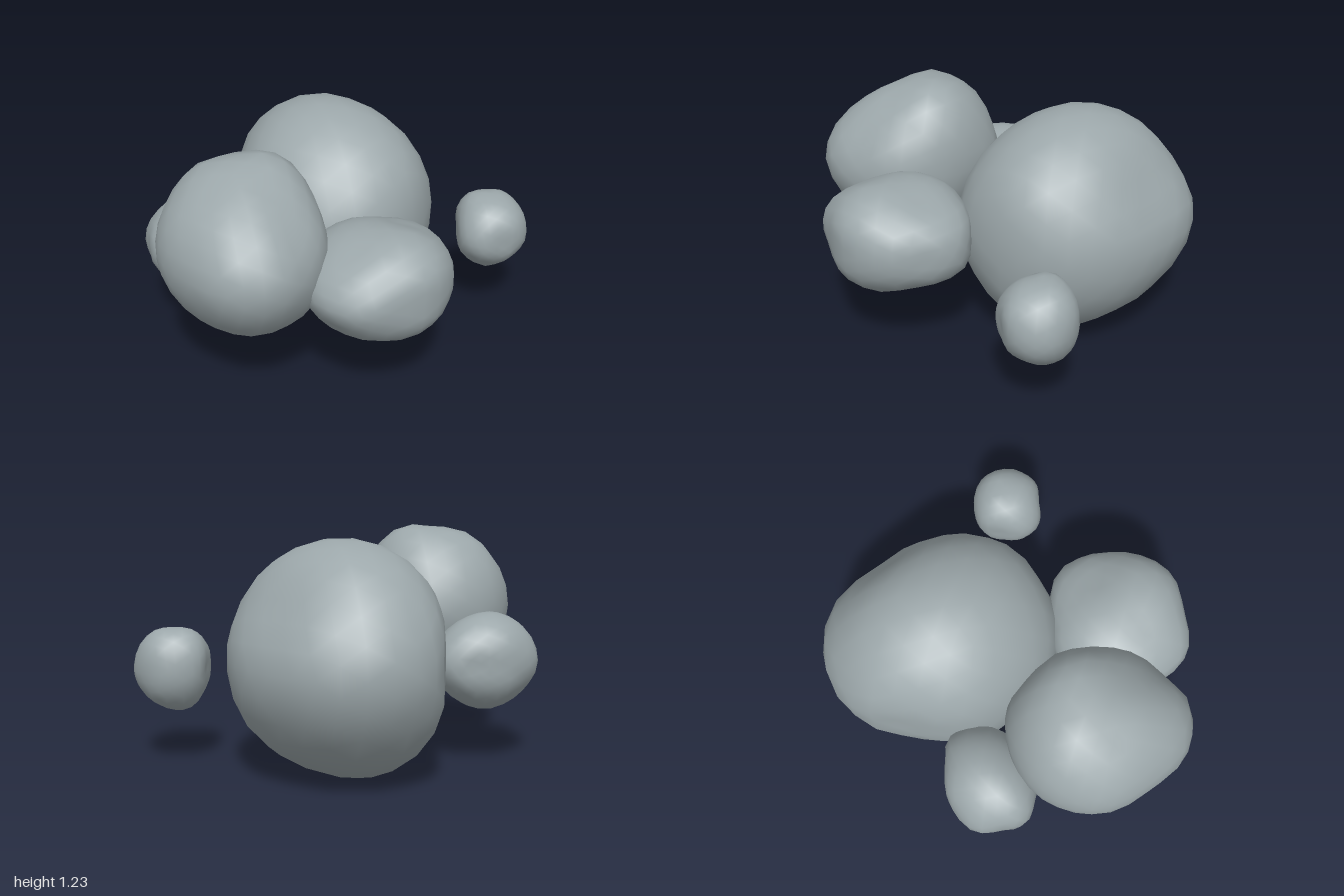
import * as THREE from 'three';
import { mergeVertices } from 'three/addons/utils/BufferGeometryUtils.js';

// Smooth closed profile: radius at any angle from radii spaced every 30 degrees
function radiusAt(radii, angle) {
  const t = (angle / (2 * Math.PI) + 1) * 12;
  const i = Math.floor(t), f = t - i;
  const [a, b, c, d] = [-1, 0, 1, 2].map((k) => radii[(i + k + 12) % 12]);
  return b + 0.5 * f * (c - a + f * (2 * a - 5 * b + 4 * c - d + f * (3 * (b - c) + d - a)));
}

// A boulder is an ellipsoid whose radius is blended from three profiles.
// axes: radii along +x +y +z -x -y -z. Each profile lists the two radii
// between neighbouring axes, all in half sizes.
function rockGeometry({ centre, half, axes, front, side, top }) {
  const planes = [[0, 1, front], [2, 1, side], [0, 2, top]].map(([u, v, between]) => ({
    u, v, w: 3 - u - v,
    radii: [u, v, u + 3, v + 3].flatMap((axis, q) => [axes[axis], between[2 * q], between[2 * q + 1]]),
  }));
  let geometry = new THREE.IcosahedronGeometry(1, 4);
  geometry.deleteAttribute('uv');
  geometry.deleteAttribute('normal');
  geometry = mergeVertices(geometry, 1e-4);
  const position = geometry.attributes.position;
  for (let i = 0; i < position.count; i++) {
    const d = [position.getX(i), position.getY(i), position.getZ(i)];
    let sum = 0, total = 0;
    for (const { u, v, w, radii } of planes) {
      const weight = 1 / (d[w] ** 2 + 0.001);
      sum += weight * radiusAt(radii, Math.atan2(d[v], d[u]));
      total += weight;
    }
    position.setXYZ(i, ...d.map((n, k) => centre[k] + half[k] * n * (sum / total)));
  }
  geometry.computeVertexNormals();
  return geometry;
}

export function createModel() {
  const model = new THREE.Group();
  model.name = 'boulderCluster';
  const stone = new THREE.MeshStandardMaterial({ color: 0x9ca7aa });
  stone.name = 'greyStone';

  const addRock = (name, shape) => {
    const mesh = new THREE.Mesh(rockGeometry(shape), stone);
    mesh.name = name;
    model.add(mesh);
  };

  // Largest boulder, sloping away at the back
  addRock('largeBoulder', {
    centre: [0.37, 0.605, -0.27], half: [0.565, 0.605, 0.635],
    axes: [1, 1, 0.97, 0.99, 1, 0.98],
    front: [0.89, 0.96, 0.98, 0.99, 1.04, 0.99, 0.945, 0.985],
    side: [1.02, 1.01, 0.99, 0.965, 0.985, 1.01, 1.05, 1.03],
    top: [0.985, 0.99, 1.04, 1.05, 0.9, 0.83, 1.06, 1.08],
  });

  // Tall boulder with a shoulder sloping outwards and forwards
  addRock('tallBoulder', {
    centre: [-0.58, 0.78, -0.02], half: [0.42, 0.45, 0.47],
    axes: [0.99, 0.96, 0.98, 1, 1, 0.97],
    front: [1.065, 1.12, 0.895, 0.965, 0.98, 0.99, 1.03, 0.97],
    side: [0.89, 0.88, 1.04, 1, 0.98, 1, 1, 1],
    top: [0.945, 0.96, 1.11, 1.12, 1, 0.97, 1.01, 1.08],
  });

  // Wide, low boulder in front
  addRock('frontBoulder', {
    centre: [-0.175, 0.64, 0.5], half: [0.425, 0.27, 0.4],
    axes: [1, 1, 0.99, 0.98, 1, 0.97],
    front: [1, 0.9, 0.91, 0.93, 0.96, 1.055, 1, 1.06],
    side: [1.09, 1.14, 0.98, 0.95, 0.95, 1, 1.15, 1.08],
    top: [0.935, 1, 0.93, 1.015, 0.92, 0.93, 0.855, 0.9],
  });

  // Boulder tucked in at the back
  addRock('backBoulder', {
    centre: [-0.37, 0.54, -0.58], half: [0.31, 0.26, 0.25],
    axes: [1, 1, 0.97, 1, 1, 0.97],
    front: [0.95, 0.95, 1.02, 1.05, 0.95, 0.93, 0.93, 0.93],
    side: [0.95, 0.95, 1, 1, 0.97, 0.97, 0.95, 0.95],
    top: [1, 1.04, 1, 0.93, 0.93, 1.07, 0.83, 0.8],
  });

  // Small separate stone
  addRock('smallStone', {
    centre: [0.79, 0.5, 0.56], half: [0.21, 0.23, 0.21],
    axes: [1, 0.97, 0.98, 0.97, 0.95, 0.95],
    front: [1.09, 1.09, 0.97, 0.96, 0.86, 0.81, 0.94, 1],
    side: [1.05, 1.01, 1.09, 1.04, 0.92, 0.97, 0.86, 0.92],
    top: [1.06, 1.06, 0.84, 0.94, 0.85, 0.79, 0.94, 0.98],
  });

  return model;
}
